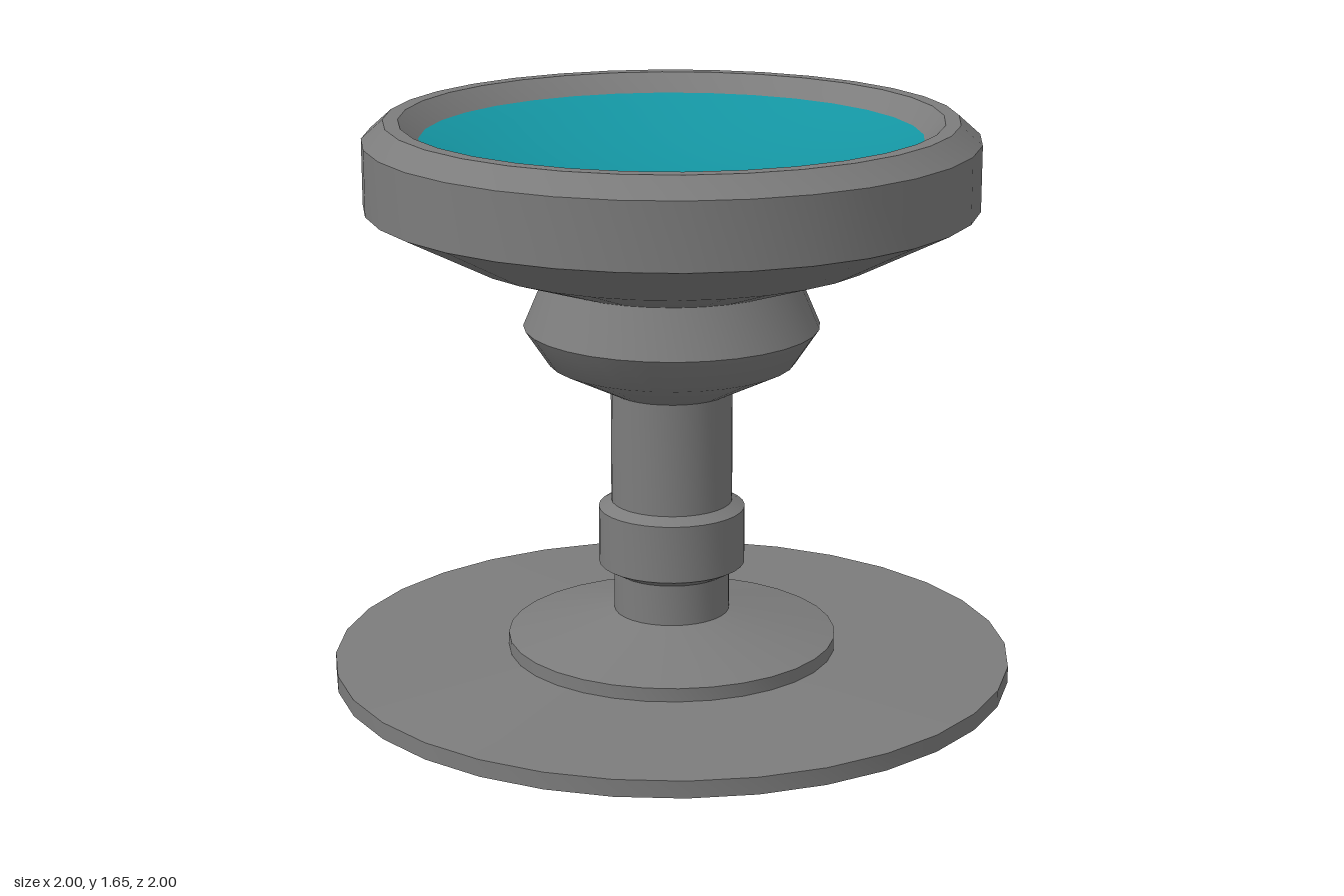
import * as THREE from 'three';
import { toCreasedNormals } from 'three/addons/utils/BufferGeometryUtils.js';

const SEGMENTS = 32;

export function createModel() {
  const group = new THREE.Group();
  const grey = new THREE.MeshStandardMaterial({ color: 0x7c7c7c, side: THREE.DoubleSide });
  const teal = new THREE.MeshStandardMaterial({ color: 0x1495a2, side: THREE.DoubleSide });

  // Turn a [radius, height] profile, keeping hard edges sharp
  const turn = (name, profile, material = grey) => {
    const points = profile.map(([r, y]) => new THREE.Vector2(r, y));
    const geometry = toCreasedNormals(new THREE.LatheGeometry(points, SEGMENTS), 0.55);
    const mesh = new THREE.Mesh(geometry, material);
    mesh.name = name;
    group.add(mesh);
  };

  // Wide floor plate and raised conical foot
  turn('basePlate', [[0, 0], [1, 0], [1, 0.05], [0.485, 0.07]]);
  turn('foot', [[0.485, 0.07], [0.485, 0.11], [0.17, 0.183]]);

  // Stem with its collar
  turn('lowerStem', [[0.17, 0.183], [0.17, 0.305]]);
  turn('collar', [[0.17, 0.305], [0.215, 0.33], [0.215, 0.5], [0.178, 0.52]]);
  turn('upperStem', [[0.178, 0.52], [0.178, 0.855]]);

  // Flared knob below the bowl
  turn('knob', [[0.178, 0.855], [0.36, 0.945], [0.43, 1.05], [0.37, 1.19]]);

  // Bowl with a bevelled rim
  turn('bowl', [
    [0.37, 1.19], [0.61, 1.27], [0.882, 1.41], [0.882, 1.6],
    [0.82, 1.655], [0.777, 1.655], [0.72, 1.6],
  ]);

  // Shallow concave dish filling the bowl
  const dish = [];
  for (let i = 0; i <= 8; i++) {
    const t = 1 - i / 8;
    dish.push([0.72 * t, 1.48 + 0.12 * t * t]);
  }
  turn('dish', dish, teal);

  return group;
}
